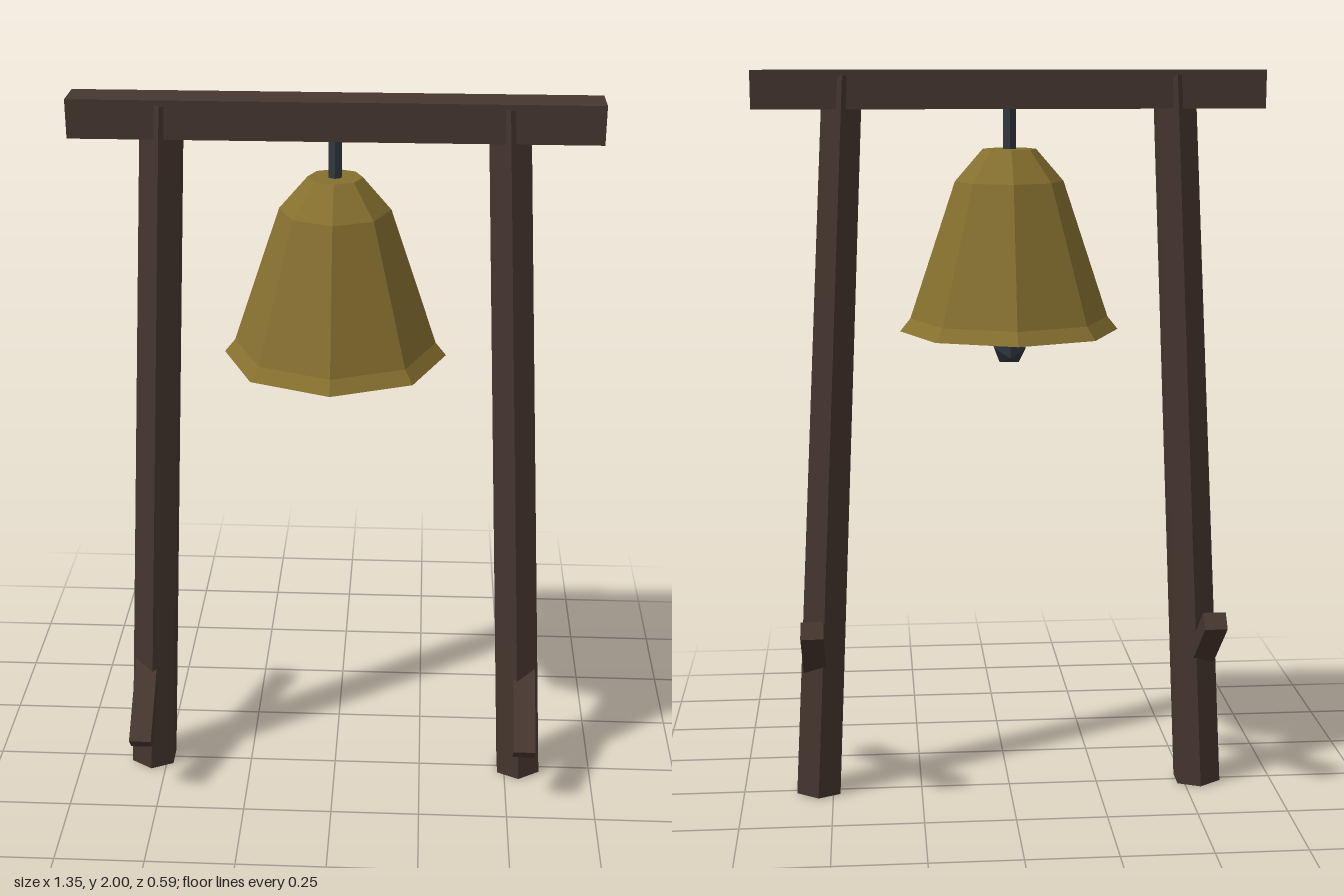
import * as THREE from 'three';

export function createModel() {
  const group = new THREE.Group();
  const paint = (name, color) => {
    const m = new THREE.MeshStandardMaterial({ color, flatShading: true });
    m.name = name;
    return m;
  };
  const wood = paint('dark wood', 0x46362f);
  const bronze = paint('aged bronze', 0x86702f);
  const iron = paint('dark iron', 0x31383f);

  const add = (name, geometry, material, x, y, z = 0) => {
    const mesh = new THREE.Mesh(geometry, material);
    mesh.name = name;
    mesh.position.set(x, y, z);
    group.add(mesh);
    return mesh;
  };

  // Crossbeam
  add('crossbeam', new THREE.BoxGeometry(1.35, 0.1, 0.106), wood, 0, 1.95);

  // Leaning six-sided posts, each with a sloping brace through its foot
  const postGeometry = new THREE.CylinderGeometry(0.06, 0.07, 1.985, 6);
  const braceGeometry = new THREE.BoxGeometry(0.062, 0.05, 0.55);
  for (const [side, s] of [['left', 1], ['right', -1]]) {
    add(side + 'Post', postGeometry, wood, s * 0.489, 0.995).rotation.z = s * 0.052;
    add(side + 'Brace', braceGeometry, wood, s * 0.543, 0.363).rotation.x = 0.7;
  }

  // Eight-sided bell with a flared lip, closed at top and bottom
  const profile = [[0, 1.31], [0.295, 1.31], [0.267, 1.345], [0.145, 1.71], [0.071, 1.795], [0, 1.795]]
    .map(([r, y]) => new THREE.Vector2(r, y));
  add('bell', new THREE.LatheGeometry(profile, 8), bronze, 0, 0);

  // Hanger rod and clapper
  add('hangerRod', new THREE.CylinderGeometry(0.019, 0.019, 0.14, 6), iron, 0, 1.85);
  add('clapper', new THREE.IcosahedronGeometry(0.05, 0), iron, 0, 1.265);

  return group;
}
